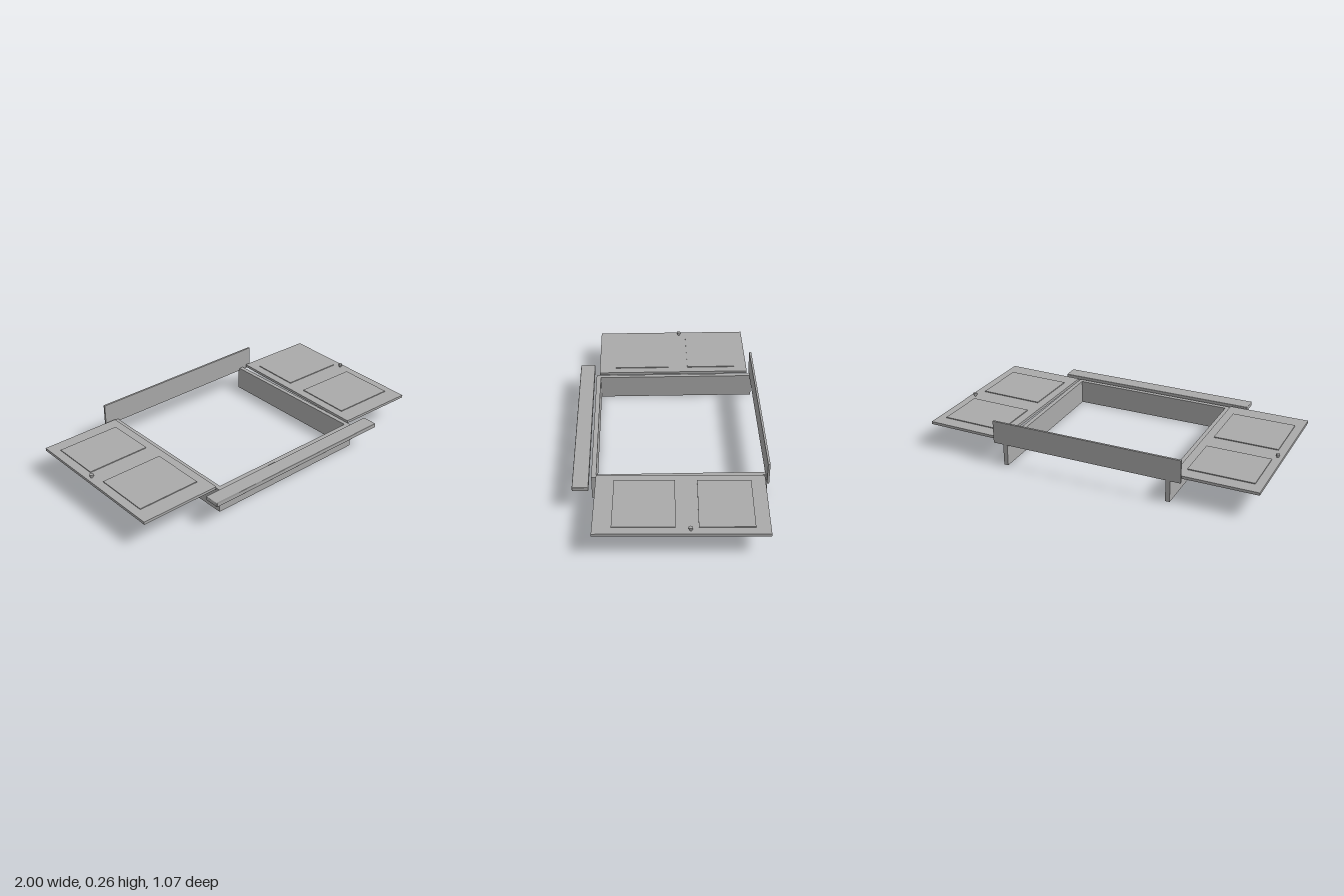
import * as THREE from 'three';
import { RoundedBoxGeometry } from 'three/addons/geometries/RoundedBoxGeometry.js';

const grey = new THREE.MeshStandardMaterial({ color: 0xaaaaaa });
grey.name = 'plain grey';

function add(parent, name, geometry, x, y, z) {
  const mesh = new THREE.Mesh(geometry, grey);
  mesh.name = name;
  mesh.position.set(x, y, z);
  parent.add(mesh);
  return mesh;
}

// Box given by its [min, max] range on each axis
function board(parent, name, [x0, x1], [y0, y1], [z0, z1], radius = 0) {
  const size = [x1 - x0, y1 - y0, z1 - z0];
  const geometry = radius
    ? new RoundedBoxGeometry(...size, 2, radius)
    : new THREE.BoxGeometry(...size);
  return add(parent, name, geometry, (x0 + x1) / 2, (y0 + y1) / 2, (z0 + z1) / 2);
}

// Flat door with two raised panels and a knob near its outer edge
function makeDoor(name, side) {
  const door = new THREE.Group();
  door.name = name;
  board(door, 'doorSlab', [-0.239, 0.239], [0.142, 0.158], [-0.463, 0.463]);
  for (const [z0, z1] of [[-0.385, -0.09], [0.03, 0.363]]) {
    board(door, 'doorPanel', [-0.189, 0.189], [0.156, 0.163], [z0, z1]);
  }
  add(door, 'knobStem', new THREE.CylinderGeometry(0.007, 0.007, 0.014, 16), side * 0.209, 0.164, -0.048);
  add(door, 'knob', new THREE.CylinderGeometry(0.0115, 0.0115, 0.01, 20), side * 0.209, 0.173, -0.048);
  return door;
}

export function createModel() {
  const model = new THREE.Group();
  model.name = 'cabinetTopParts';

  // Open base frame: two sides and a front
  board(model, 'frameRightSide', [-0.516, -0.49], [0, 0.143], [-0.535, 0.41]);
  board(model, 'frameLeftSide', [0.475, 0.501], [0, 0.143], [-0.535, 0.41]);
  board(model, 'frameFront', [-0.516, 0.501], [0, 0.143], [0.409, 0.436]);

  // Upright back board and loose front rail
  board(model, 'backBoard', [-0.576, 0.561], [0.128, 0.263], [-0.537, -0.525]);
  board(model, 'frontRail', [-0.617, 0.603], [0.131, 0.157], [0.447, 0.537], 0.004);

  // Doors laid flat at both sides, the left one slightly turned
  const rightDoor = makeDoor('rightDoor', -1);
  rightDoor.position.set(-0.761, 0, -0.046);
  const leftDoor = makeDoor('leftDoor', 1);
  leftDoor.position.set(0.749, 0, -0.048);
  leftDoor.rotation.y = -0.024;
  model.add(rightDoor, leftDoor);

  return model;
}
